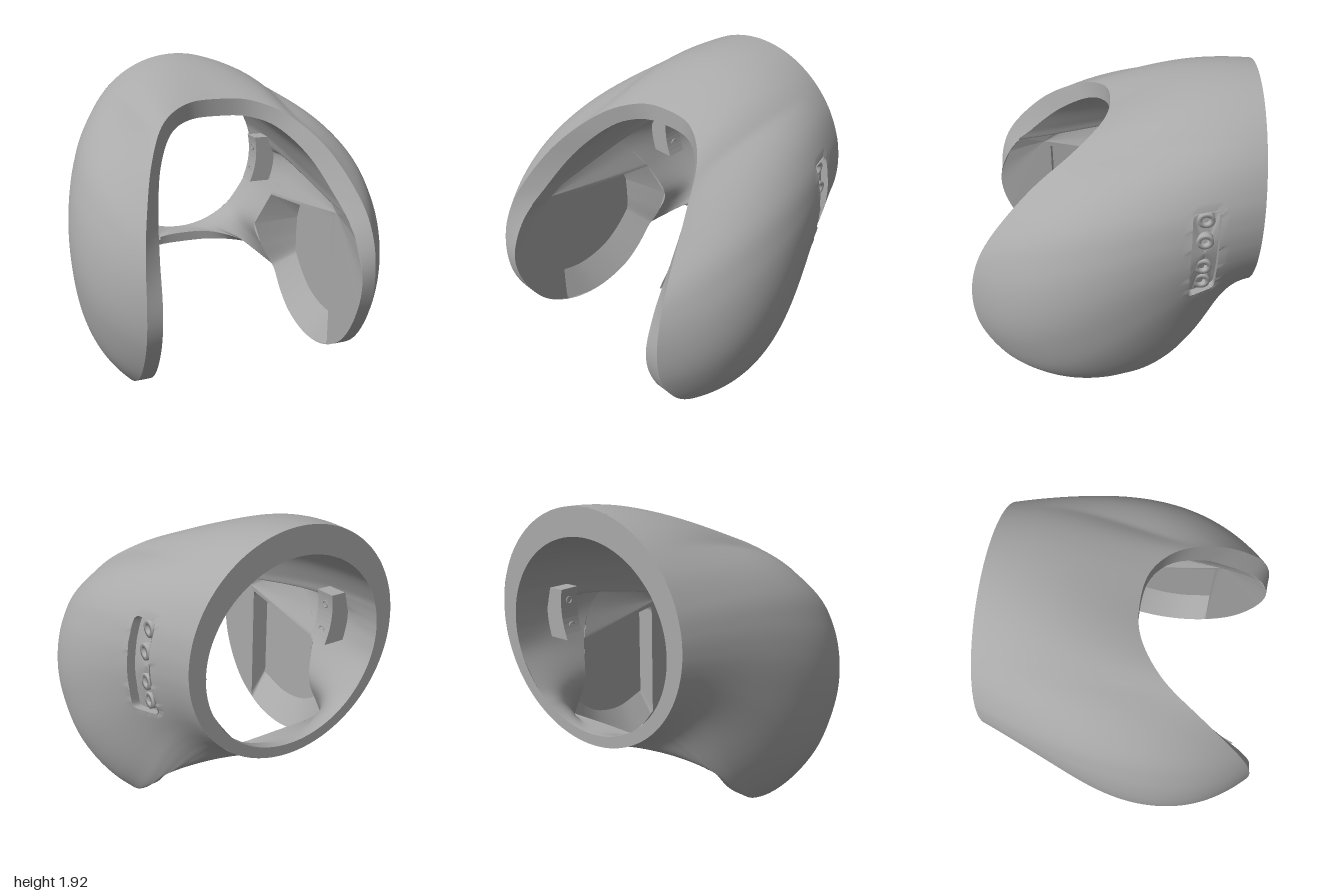
import * as THREE from 'three';

const V = (x, y, z) => new THREE.Vector3(x, y, z);
const { degToRad: rad, smoothstep } = THREE.MathUtils;

// Back opening: outer edge and bore edge, by angle from the top
const backEdge = (a) => V(0.715 * Math.sin(rad(a)), 1.21 + 0.71 * Math.cos(rad(a)), -0.86);
const boreEdge = (a) => V(0.61 * Math.sin(rad(a)), 1.16 + 0.59 * Math.cos(rad(a)), -0.86);

// Front rim of one half, top to bottom: outer corner, inner corner, matching back angle
const RIM = [
  [[0, 1.71, 0.02], [0, 1.60, 0.02], 0],
  [[0.22, 1.695, 0.06], [0.20, 1.59, 0.05], 18],
  [[0.42, 1.61, 0.22], [0.36, 1.53, 0.17], 36],
  [[0.57, 1.43, 0.48], [0.49, 1.37, 0.38], 54],
  [[0.67, 1.17, 0.715], [0.57, 1.15, 0.60], 70],
  [[0.71, 0.95, 0.825], [0.615, 0.95, 0.77], 82],
  [[0.72, 0.70, 0.86], [0.63, 0.70, 0.86], 92],
  [[0.72, 0.45, 0.815], [0.63, 0.45, 0.815], 100],
  [[0.72, 0.20, 0.66], [0.63, 0.20, 0.66], 107],
  [[0.72, 0.05, 0.43], [0.63, 0.05, 0.43], 113],
  [[0.72, 0.00, 0.17], [0.63, 0.00, 0.17], 118],
  [[0.72, 0.05, -0.10], [0.63, 0.05, -0.10], 123],
  [[0.72, 0.15, -0.27], [0.63, 0.16, -0.27], 128],
  [[0.71, 0.28, -0.40], [0.63, 0.30, -0.40], 134],
  [[0.66, 0.38, -0.50], [0.58, 0.41, -0.48], 142],
  [[0.50, 0.46, -0.60], [0.45, 0.49, -0.58], 154],
  [[0.25, 0.495, -0.68], [0.22, 0.555, -0.68], 167],
  [[0, 0.50, -0.70], [0, 0.57, -0.70], 180],
].map(([o, i, a]) => ({ o: V(...o), i: V(...i), a }));

// Edge between the cheek and the bore, front top to lower back
const WEB = [
  [0.595, 1.055, 0.69, 76], [0.62, 1.20, 0.35, 82], [0.66, 1.25, 0.05, 88],
  [0.63, 1.10, -0.20, 97], [0.56, 0.92, -0.33, 112], [0.47, 0.68, -0.42, 135],
  [0.54, 0.48, -0.43, 146], [0.62, 0.33, -0.42, 152],
].map(([x, y, z, a]) => ({ p: V(x, y, z), a }));

// Closed, mirrored curve through the points of one half
function mirroredLoop(half) {
  const other = half.slice(1, -1).reverse().map((p) => V(-p.x, p.y, p.z));
  return new THREE.CatmullRomCurve3([...half, ...other], true, 'catmullrom', 0.5);
}
const sample = (curve, n) => Array.from({ length: n }, (_, i) => curve.getPoint(i / n));
const smooth = (points, n) => new THREE.CatmullRomCurve3(points).getPoints(n);
const straight = (a, b, n) => Array.from({ length: n }, (_, i) => a.clone().lerp(b, i / n));
const bezier = (a, b, c, d, n) => new THREE.CubicBezierCurve3(a, b, c, d).getPoints(n);

// Surface over columns of points; columns wrap around, cells may be left out
function loft(columns, skip = () => false) {
  const rows = columns[0].length, n = columns.length, index = [];
  for (let c = 0; c < n; c++) {
    const next = (c + 1) % n;
    for (let r = 0; r < rows - 1; r++) {
      if (skip([columns[c][r], columns[c][r + 1], columns[next][r], columns[next][r + 1]])) continue;
      const a = c * rows + r, b = next * rows + r;
      index.push(a, a + 1, b, b, a + 1, b + 1);
    }
  }
  const g = new THREE.BufferGeometry().setFromPoints(columns.flat());
  g.setIndex(index);
  g.computeVertexNormals();
  return g;
}
const fan = (loop, centre) => loft(loop.map((p) => [p, centre]));

// Rounded slot on the left flank: straight core grown by a radius
const SLOT = { y: 1.155, z: -0.52, hy: 0.255, hz: 0.05, r: 0.03 };
function slotCore(p) {
  const y = THREE.MathUtils.clamp(p.y, SLOT.y - SLOT.hy, SLOT.y + SLOT.hy);
  const z = THREE.MathUtils.clamp(p.z, SLOT.z - SLOT.hz, SLOT.z + SLOT.hz);
  return { y, z, d: Math.hypot(p.y - y, p.z - z) };
}
function slotDistance(p) {
  if (p.x < 0) return 1;
  const { d } = slotCore(p);
  const inside = Math.min(SLOT.hy - Math.abs(p.y - SLOT.y), SLOT.hz - Math.abs(p.z - SLOT.z));
  return d > 0 ? d - SLOT.r : -SLOT.r - inside;
}
// Pull a nearby surface point onto the slot outline
function snapToSlot(p) {
  if (Math.abs(slotDistance(p)) > 0.018) return;
  const { y, z, d } = slotCore(p);
  p.y = y + (p.y - y) * SLOT.r / d;
  p.z = z + (p.z - z) * SLOT.r / d;
}

export function createModel() {
  const model = new THREE.Group();
  const grey = new THREE.MeshStandardMaterial({ color: 0xaaaaaa, side: THREE.DoubleSide });
  grey.name = 'plain grey';
  const add = (name, geometry, parent = model) => {
    const mesh = new THREE.Mesh(geometry, grey);
    mesh.name = name;
    parent.add(mesh);
    return mesh;
  };

  // Outer shell: bulging cheeks flowing back into the round opening
  const N = 340;
  const outerRim = sample(mirroredLoop(RIM.map((r) => r.o)), N);
  const innerRim = sample(mirroredLoop(RIM.map((r) => r.i)), N);
  const outerBack = sample(mirroredLoop(RIM.map((r) => backEdge(r.a))), N);
  const centre = V(0, 0.7, 0.17);
  const shell = outerRim.map((o, k) => {
    const b = outerBack[k], d = b.clone().sub(o), len = d.length();
    const n = o.clone().sub(centre).normalize();
    const lift = 0.1 * smoothstep(o.y, 0.9, 1.4) + 0.1 * smoothstep(o.y, 1.55, 1.7)
      + 0.03 * smoothstep(0.4 - o.y, 0, 0.4);
    const leave = d.clone().addScaledVector(n, lift * len - Math.min(0, d.dot(n))).normalize();
    const arrive = V(0.38 * b.x / 0.71, 0, 1).normalize();
    return bezier(o, o.clone().addScaledVector(leave, 0.42 * len),
      b.clone().addScaledVector(arrive, 0.35 * len), b, 80);
  });
  const flank = shell.flat().filter((p) => p.x > 0.5 && slotDistance(p) < 0.1).map((p) => p.clone());
  shell.flat().forEach(snapToSlot);
  add('outerShell', loft(shell, (cell) => cell.every((p) => slotDistance(p) < 0.002)));

  // Height of the flank at a place on the slot
  const flankX = (y, z) => {
    let sum = 0, total = 0;
    for (const p of flank) {
      const w = 1 / (1e-8 + ((p.y - y) ** 2 + (p.z - z) ** 2) ** 2);
      sum += w * p.x;
      total += w;
    }
    return sum / total;
  };

  // Slot tray and its bolts
  const slot = new THREE.Group();
  slot.name = 'leftSlot';
  model.add(slot);
  const tray = Array.from({ length: 96 }, (_, k) => {
    const a = (k / 96) * Math.PI * 2;
    const ray = V(1, SLOT.y + Math.sin(a) * 0.5, SLOT.z + Math.cos(a) * 0.12);
    const { y, z, d } = slotCore(ray);
    const py = y + (ray.y - y) * SLOT.r / d, pz = z + (ray.z - z) * SLOT.r / d;
    const x = flankX(py, pz);
    return [V(x, py, pz), V(x - 0.05, py, pz)];
  });
  add('slotWall', loft(tray), slot);
  add('slotFloor', fan(tray.map((t) => t[1]),
    V(flankX(SLOT.y, SLOT.z) - 0.05, SLOT.y, SLOT.z)), slot);
  const boltProfile = [[0, -0.02], [0.025, -0.02], [0.025, 0.008], [0.05, 0.008], [0.05, -0.03]]
    .map(([r, h]) => new THREE.Vector2(r, h));
  for (const y of [0.935, 1.06, 1.245, 1.375]) {
    const bolt = add('slotBolt', new THREE.LatheGeometry(boltProfile, 24), slot);
    bolt.rotation.z = -Math.PI / 2;
    bolt.position.set(flankX(y, SLOT.z) - 0.045, y, SLOT.z);
  }

  // Rim strip and back ring
  add('frontRim', loft(outerRim.map((o, k) => [innerRim[k], o])));
  add('backRing', loft(Array.from({ length: 120 }, (_, k) => [backEdge(k * 3), boreEdge(k * 3)])));

  // Bore lining, from the rim and cheek edges to the back opening
  const lining = [
    ...RIM.slice(0, 5).map((r) => ({ p: r.i, a: r.a * 0.98 })),
    ...WEB,
    ...RIM.slice(14).map((r, k) => ({ p: r.i, a: [158, 164, 172, 180][k] })),
  ];
  const liningFront = sample(mirroredLoop(lining.map((l) => l.p)), 192);
  const liningBack = sample(mirroredLoop(lining.map((l) => boreEdge(l.a))), 192);
  add('boreLining', loft(liningFront.map((s, k) => {
    const b = liningBack[k], d = b.clone().sub(s);
    return bezier(s, s.clone().addScaledVector(d, 0.33),
      b.clone().add(V(0, 0, 0.35 * d.length())), b, 12);
  })));

  // Inside of each cheek: flat plate along front and top, then a flat-floored pocket
  const low = V(0.63, 0.068, 0.47), corner = V(0.63, 0.98, 0.47), rear = WEB[4].p;
  const plateEdge = [
    ...smooth([...RIM.slice(5, 9).map((r) => r.i), low], 40), corner,
    ...smooth(WEB.slice(0, 5).reverse().map((w) => w.p), 30),
  ];
  const pocketEdge = [
    ...smooth([low, ...RIM.slice(10, 14).map((r) => r.i),
      ...WEB.slice(5).reverse().map((w) => w.p)], 90),
    ...straight(rear, corner, 20),
    ...straight(corner, low, 20),
  ];
  for (const side of [1, -1]) {
    const cheek = new THREE.Group();
    cheek.name = side > 0 ? 'leftCheekInside' : 'rightCheekInside';
    model.add(cheek);
    const flip = (p) => V(side * p.x, p.y, p.z);
    add('cheekPlate', fan(plateEdge.map(flip), V(side * 0.63, 1.02, 0.51)), cheek);
    const wall = pocketEdge.map((p) => [flip(p),
      V(side * 0.76, 0.98 - (0.98 - p.y) * 0.8, 0.47 - (0.47 - p.z) * 0.85)]);
    add('pocketWall', loft(wall), cheek);
    add('pocketFloor', fan(wall.map((w) => w[1]), V(side * 0.76, 0.65, 0.1)), cheek);

    // Mounting block with a hollowed inner face
    const s = new THREE.Shape();
    s.moveTo(side * 0.44, 1.0);
    s.quadraticCurveTo(side * 0.51, 1.17, side * 0.475, 1.33);
    s.lineTo(side * 0.64, 1.33);
    s.lineTo(side * 0.68, 1.0);
    s.closePath();
    const block = add('mountingBlock', new THREE.ExtrudeGeometry(s,
      { depth: 0.14, bevelEnabled: false, curveSegments: 10 }), cheek);
    block.position.z = -0.59;
    for (const y of [1.08, 1.25]) {
      const ring = add('blockHoleRim', new THREE.TorusGeometry(0.022, 0.006, 6, 20), cheek);
      ring.rotation.y = Math.PI / 2;
      ring.position.set(side * (y < 1.2 ? 0.47 : 0.486), y, -0.52);
    }
  }
  return model;
}
